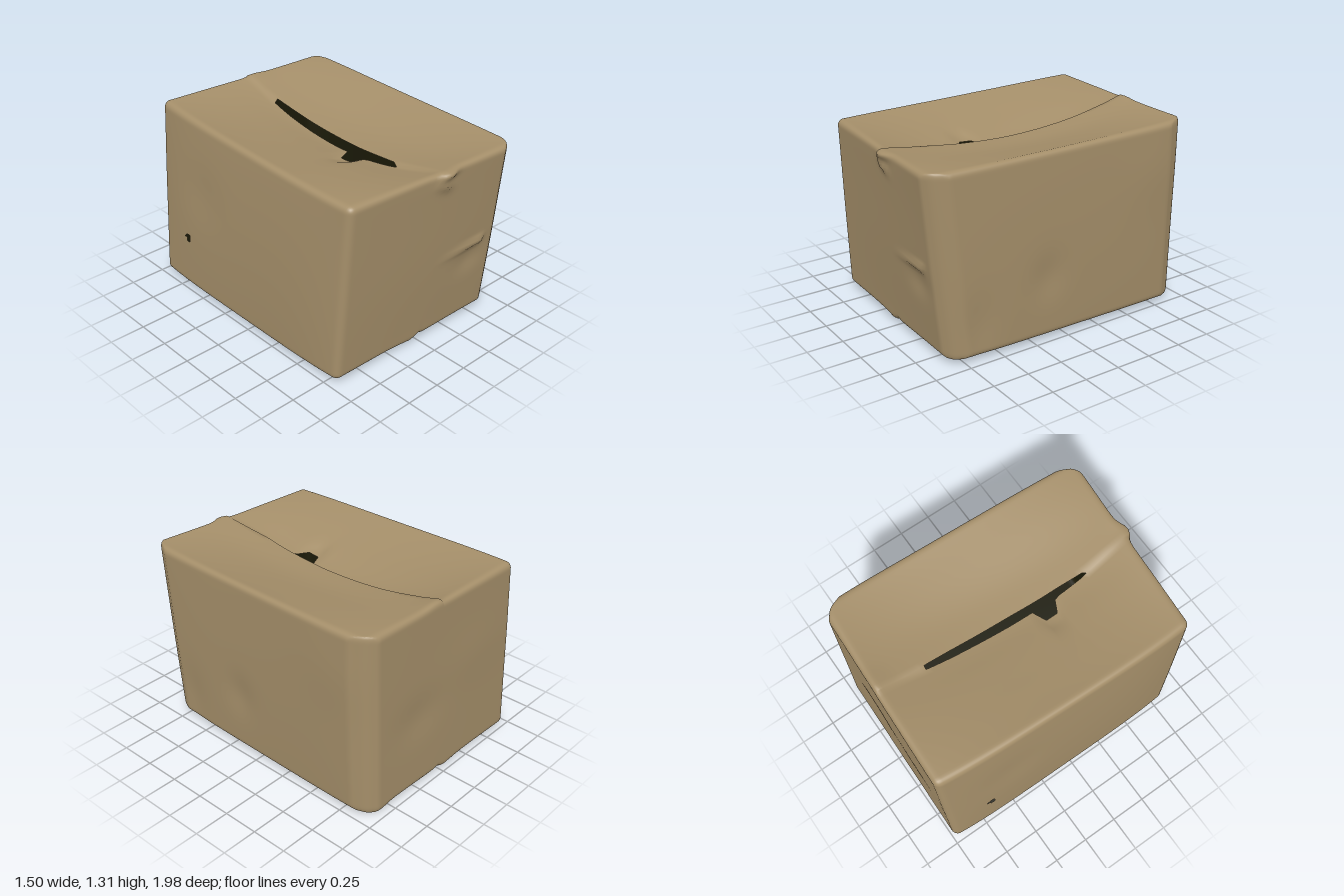
import * as THREE from 'three';
import { mergeVertices } from 'three/addons/utils/BufferGeometryUtils.js';

const cardboard = new THREE.MeshStandardMaterial({ color: 0xa48e69 });
cardboard.name = 'cardboard';
const darkInside = new THREE.MeshStandardMaterial({ color: 0x1b1a08, side: THREE.BackSide });
darkInside.name = 'dark inside';

const HALF = new THREE.Vector3(0.71, 0.64, 0.93);
const RADIUS = 0.045;

// Corners of the skewed carton, ordered by x, then y, then z
const CORNERS = [
  [-0.71, 0.02, -0.985], [-0.72, 0.035, 0.835], [-0.625, 1.32, -0.995], [-0.67, 1.27, 0.895],
  [0.72, 0.025, -0.96], [0.70, 0.035, 0.86], [0.75, 1.315, -0.945], [0.69, 1.28, 0.995],
].map(c => new THREE.Vector3(...c));

const bell = (t, width) => Math.exp(-((t / width) ** 2));
const ease = (a, b, t) => THREE.MathUtils.smoothstep(t, a, b);

// Piecewise linear lookup through [position, value] pairs
function along(points, t) {
  if (t <= points[0][0]) return points[0][1];
  for (let i = 1; i < points.length; i++) {
    const [a, va] = points[i - 1], [b, vb] = points[i];
    if (t <= b) return va + (vb - va) * (t - a) / (b - a);
  }
  return points[points.length - 1][1];
}
const SEAM = [[-0.9, 0.075], [-0.5, 0.057], [-0.1, 0.037], [0.25, 0.02], [0.55, 0.013], [0.9, 0.05]];
const GAP = [[-0.75, 0.002], [-0.6, 0.012], [-0.45, 0.018], [0, 0.023], [0.4, 0.018], [0.62, 0.005]];

// Soft dents and bulges: wall axis, its side, centre and widths on the wall, depth
const DENTS = [
  ['z', 1, 0.4, 0.5, 0.12, 0.09, -0.015], ['z', 1, 0.1, 0.55, 0.7, 0.45, 0.008],
  ['z', -1, 0.25, 0.55, 0.2, 0.15, -0.012], ['z', -1, -0.3, 0.8, 0.3, 0.2, 0.006],
  ['x', 1, 0.15, 0.45, 0.12, 0.15, -0.015], ['x', 1, -0.7, 1.0, 0.25, 0.25, 0.008],
  ['x', 1, 0.65, 0.25, 0.12, 0.2, -0.01], ['x', -1, -0.5, 0.8, 0.2, 0.2, -0.01],
];

// Rounds, skews and crumples one point of the -1..1 cube
function crumple(q) {
  const p = new THREE.Vector3(), inner = new THREE.Vector3();
  for (const k of ['x', 'y', 'z']) {
    p[k] = HALF[k] * (0.35 * q[k] + 0.65 * Math.sin(q[k] * Math.PI / 2));
    inner[k] = THREE.MathUtils.clamp(p[k], RADIUS - HALF[k], HALF[k] - RADIUS);
  }
  p.sub(inner).normalize().multiplyScalar(RADIUS).add(inner).divide(HALF);
  const { x: u, y: v, z: w } = p;

  // Blend the eight corners
  const out = new THREE.Vector3();
  CORNERS.forEach((c, i) => out.addScaledVector(c,
    (1 + (i & 4 ? u : -u)) * (1 + (i & 2 ? v : -v)) * (1 + (i & 1 ? w : -w)) / 8));
  const { x, y, z } = out;

  // Bulging side walls and blunted right corners
  const bulge = u < 0 ? 0.042 : 0.024;
  out.x += Math.sign(u) * ease(0.6, 1, Math.abs(u)) * bulge * (1 - w ** 4) * (1 - 0.5 * v * v);
  const cut = Math.max(0, u + Math.abs(w) - 1.85);
  out.x -= 0.25 * cut;
  out.z -= 0.3 * cut * Math.sign(w);

  // Sagging top flaps, parted along the seam, the right one riding higher
  const top = ease(0.8, 1, v);
  const hollow = 1 - w * w;
  out.y -= top * 0.14 * (1 - Math.abs(u) ** 1.4) * hollow;
  out.y += top * Math.sign(u) * bell(u, 0.25) * (0.002 + 0.018 * hollow);
  const near = Math.max(0, 1 - Math.abs(u)) ** 2;
  const mid = (CORNERS[2].x + CORNERS[6].x) / 4 * (1 - w) + (CORNERS[3].x + CORNERS[7].x) / 4 * (1 + w);
  out.x += top * near * (along(SEAM, z) - mid);
  out.x += top * Math.sign(u) * bell(u, 0.14) * (along(GAP, z) - 0.019);
  if (u < 0) out.x -= top * 0.095 * bell(u, 0.3) * ease(0.16, 0.2, z) * (1 - ease(0.29, 0.34, z));

  // Bottom flaps meeting in a stepped groove, with one bent corner
  const base = ease(0.8, 1, -v);
  out.y += base * (0.02 * bell(u, 0.035) - 0.012 * bell(u, 0.25));
  out.y += base * Math.sign(u) * 0.009 * bell(u, 0.2);
  out.y -= base * 0.018 * bell(x - 0.58, 0.07) * bell(z + 0.93, 0.08);

  // Wall dents
  for (const [axis, side, a, b, wa, wb, depth] of DENTS) {
    const t = (axis === 'x' ? u : w) * side;
    out[axis] += side * ease(0.7, 1, t) * depth * bell((axis === 'x' ? z : x) - a, wa) * bell(y - b, wb);
  }

  // Sharp crease, small torn fold and flap lips on the front and back
  const front = ease(0.8, 1, w), back = ease(0.8, 1, -w);
  const crease = ease(0.05, 0.46, x) * (1 - ease(0.47, 0.53, x));
  out.z += front * 0.025 * crease * bell(y - 0.585 - 0.07 * x, 0.025);
  out.z += front * 0.025 * bell(x - 0.07, 0.06) * bell(y - 1.17 + 0.5 * (x - 0.07), 0.035);
  out.z += front * 0.04 * bell(x - 0.07, 0.07) * bell(y - 1.25, 0.04);
  out.y += back * top * 0.01 * bell(x - 0.12, 0.08);
  return out;
}

function cartonGeometry() {
  let g = new THREE.BoxGeometry(2, 2, 2, 51, 60, 60);
  const pos = g.attributes.position, idx = g.index.array, keep = [];
  const q = new THREE.Vector3(), c = new THREE.Vector3();
  // Leave out the open slot on top and a small puncture low on one side
  for (const { start, count, materialIndex: face } of g.groups) {
    for (let i = start; i < start + count; i += 3) {
      c.set(0, 0, 0);
      for (let k = 0; k < 3; k++) c.add(q.fromBufferAttribute(pos, idx[i + k]));
      c.divideScalar(3);
      const slot = face === 2 && Math.abs(c.x) < 0.02 && c.z > -0.5 && c.z < 0.48;
      const puncture = face === 1 && Math.hypot(c.z + 0.52, c.y + 0.3) < 0.03;
      if (!slot && !puncture) keep.push(idx[i], idx[i + 1], idx[i + 2]);
    }
  }
  for (let i = 0; i < pos.count; i++) {
    const p = crumple(q.fromBufferAttribute(pos, i));
    pos.setXYZ(i, p.x, p.y, p.z);
  }
  g.setIndex(keep);
  g.clearGroups();
  g.deleteAttribute('normal');
  g.deleteAttribute('uv');
  g = mergeVertices(g, 1e-5);
  g.computeVertexNormals();
  return g;
}

export function createModel() {
  const model = new THREE.Group();
  model.name = 'crumpledCarton';
  const shell = cartonGeometry();
  // The same sheet of card, brown outside and dark inside
  for (const [name, material] of [['cartonShell', cardboard], ['cartonInside', darkInside]]) {
    const mesh = new THREE.Mesh(shell, material);
    mesh.name = name;
    model.add(mesh);
  }
  return model;
}
